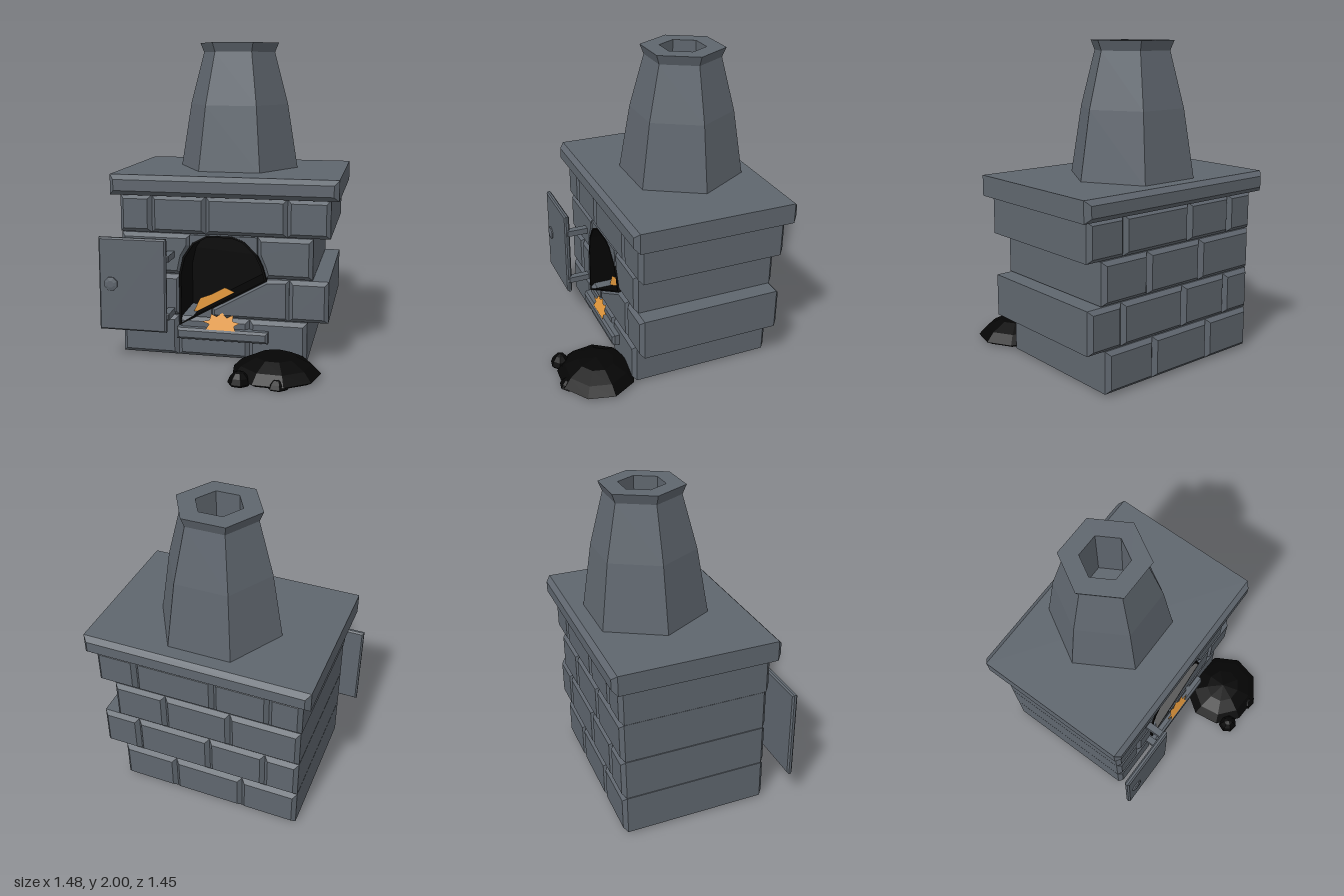
import * as THREE from 'three';

const mat = (name, color) => {
  const m = new THREE.MeshStandardMaterial({ color });
  m.name = name;
  return m;
};

export function createModel() {
  const stone = mat('stone grey', 0x5f666e);
  const soot = mat('soot black', 0x050505);
  const fire = mat('fire orange', 0xe89c3e);
  soot.side = fire.side = THREE.DoubleSide;

  const model = new THREE.Group();
  model.name = 'stoneOven';

  const add = (parent, name, geo, material) => {
    const mesh = new THREE.Mesh(geo, material);
    mesh.name = name;
    parent.add(mesh);
    return mesh;
  };
  const shapeOf = (pts) => new THREE.Shape(pts.map(([x, y]) => new THREE.Vector2(x, y)));
  const flat = (geo) => {
    const g = geo.index ? geo.toNonIndexed() : geo;
    g.computeVertexNormals();
    return g;
  };
  // Chamfered block with the given front outline, running from z0 to z1
  const block = (pts, z0, z1, b = 0.025) => {
    const g = new THREE.ExtrudeGeometry(shapeOf(pts), {
      depth: z1 - z0 - 2 * b, bevelEnabled: b > 0, bevelThickness: b,
      bevelSize: b, bevelOffset: -b, bevelSegments: 1,
    });
    return g.translate(0, 0, z0 + b);
  };
  const rect = (x0, x1, y0, y1) => [[x0, y0], [x1, y0], [x1, y1], [x0, y1]];
  const lathe = (pts, sides, start = 0) => flat(new THREE.LatheGeometry(
    pts.map(([x, y]) => new THREE.Vector2(x, y)), sides, start));

  // Brick courses: joints along x; "open" bricks start behind the fire chamber
  const bricks = new THREE.Group();
  bricks.name = 'bricks';
  model.add(bricks);
  const courses = [
    { y: [0.01, 0.27], x: [-0.64, -0.27, 0.19, 0.555], front: 0.275, open: [] },
    { y: [0.275, 0.54], x: [-0.64, -0.42, -0.05, 0.44, 0.685], front: 0.275, open: [1, 2] },
    { y: [0.545, 0.805], x: [-0.64, -0.19, 0.24, 0.585], front: 0.275, open: [0, 1, 2] },
    { y: [0.81, 1.05], x: [-0.645, -0.438, -0.088, 0.425, 0.69], front: 0.285, open: [] },
  ];
  for (const c of courses) {
    for (let i = 0; i < c.x.length - 1; i++) {
      const z1 = c.open.includes(i) ? -0.03 : c.front;
      add(bricks, 'brick', block(rect(c.x[i], c.x[i + 1], c.y[0], c.y[1]), -0.68, z1), stone);
    }
  }

  // Bricks cut around the mouth of the oven
  const cut = [
    [[[-0.64, 0.545], [-0.255, 0.545], [-0.23, 0.66], [-0.19, 0.73], [-0.19, 0.805], [-0.64, 0.805]], 0.025],
    [[[0.24, 0.69], [0.27, 0.62], [0.295, 0.545], [0.585, 0.545], [0.585, 0.805], [0.24, 0.805]], 0.025],
    [[[-0.19, 0.73], [-0.08, 0.795], [0.08, 0.795], [0.15, 0.77], [0.24, 0.69], [0.24, 0.805], [-0.19, 0.805]], 0],
    [rect(-0.42, -0.255, 0.275, 0.54), 0.025],
    [[[-0.157, 0.275], [-0.05, 0.275], [-0.05, 0.336]], 0],
    [[[-0.05, 0.275], [0.44, 0.275], [0.44, 0.54], [0.3, 0.535], [-0.05, 0.336]], 0.02],
  ];
  for (const [pts, b] of cut) add(bricks, 'cutBrick', block(pts, -0.08, 0.275, b), stone);

  // Sooty fire chamber: arched lining and back wall
  const mouth = [[-0.255, 0.22], [0.295, 0.53], [0.27, 0.62], [0.23, 0.7], [0.15, 0.775],
    [0.08, 0.8], [-0.08, 0.8], [-0.17, 0.75], [-0.23, 0.66], [-0.255, 0.55]];
  const scaled = (s) => mouth.map(([x, y]) => [x * s + 0.01 * (1 - s), 0.57 + (y - 0.57) * s]);
  const ring = shapeOf(scaled(1.02));
  ring.holes.push(shapeOf(scaled(0.97)));
  const lining = new THREE.ExtrudeGeometry(ring, { depth: 0.297, bevelEnabled: false });
  add(model, 'chamberLining', lining.translate(0, 0, -0.02), soot);
  add(model, 'chamberBack', new THREE.ShapeGeometry(shapeOf(scaled(1))).translate(0, 0, -0.02), soot);

  // Flames: a large one in the chamber and a small jagged one on the sill
  const bigFlame = [[-0.22, 0.22], [-0.155, 0.36], [-0.08, 0.39], [0.01, 0.44], [0.09, 0.405], [0.03, 0.36]];
  add(model, 'chamberFlame', new THREE.ShapeGeometry(shapeOf(bigFlame)).translate(0, 0, 0.15), fire);
  const smallFlame = [[-0.08, 0], [-0.06, 0.035], [-0.11, 0.05], [-0.06, 0.06], [-0.05, 0.1], [-0.015, 0.085],
    [0.02, 0.11], [0.05, 0.08], [0.09, 0.1], [0.09, 0.06], [0.135, 0.05], [0.1, 0.03], [0.11, 0]];
  const sillFlame = add(model, 'sillFlame', new THREE.ShapeGeometry(shapeOf(smallFlame)), fire);
  sillFlame.position.set(0, 0.208, 0.318);
  sillFlame.rotation.x = -0.35;

  // Sill below the mouth
  add(model, 'sill', block(rect(-0.27, 0.315, 0.135, 0.208), 0.2, 0.322, 0.015), stone);

  // Top slab and hexagonal chimney with a flared lip
  add(model, 'topSlab', block(rect(-0.7, 0.74, 1.05, 1.18), -0.73, 0.33, 0.03), stone);
  const chimney = add(model, 'chimney', lathe([[0.4, 1.17], [0.33, 1.6], [0.24, 1.94], [0.265, 2],
    [0.145, 2], [0.145, 1.6], [0, 1.6]], 6, Math.PI / 6), stone);
  chimney.position.set(0.02, 0, -0.27);

  // Open door on two hinge arms, with a round knob
  const door = new THREE.Group();
  door.name = 'door';
  model.add(door);
  add(door, 'doorPanel', block(rect(-0.74, -0.305, 0.205, 0.8), 0.395, 0.43, 0.01), stone);
  for (const y of [0.305, 0.675]) {
    add(door, 'hingeArm', block(rect(-0.335, -0.29, y - 0.02, y + 0.02), 0.22, 0.42, 0.006), stone);
  }
  const knob = add(door, 'doorKnob', lathe([[0.045, 0], [0.045, 0.01], [0.022, 0.016], [0, 0.016]], 8, Math.PI / 8), stone);
  knob.rotation.x = Math.PI / 2;
  knob.position.set(-0.66, 0.505, 0.429);

  // Heap of coal with smaller lumps around it
  const coal = new THREE.Group();
  coal.name = 'coalHeap';
  model.add(coal);
  const heap = [[0, 0], [0.86, 0], [1, 0.15], [0.8, 0.55], [0.45, 0.88], [0, 1]];
  const lumps = [[0.39, 0.465, 0.275, 0.14, 9], [0.2, 0.65, 0.07, 0.085, 7], [0.43, 0.66, 0.07, 0.06, 7]];
  for (const [x, z, r, h, sides] of lumps) {
    const lump = add(coal, 'coalLump', lathe(heap.map(([a, b]) => [a * r, b * h]), sides, 0.3), soot);
    lump.scale.z = 0.92;
    lump.position.set(x, 0, z);
  }

  return model;
}
